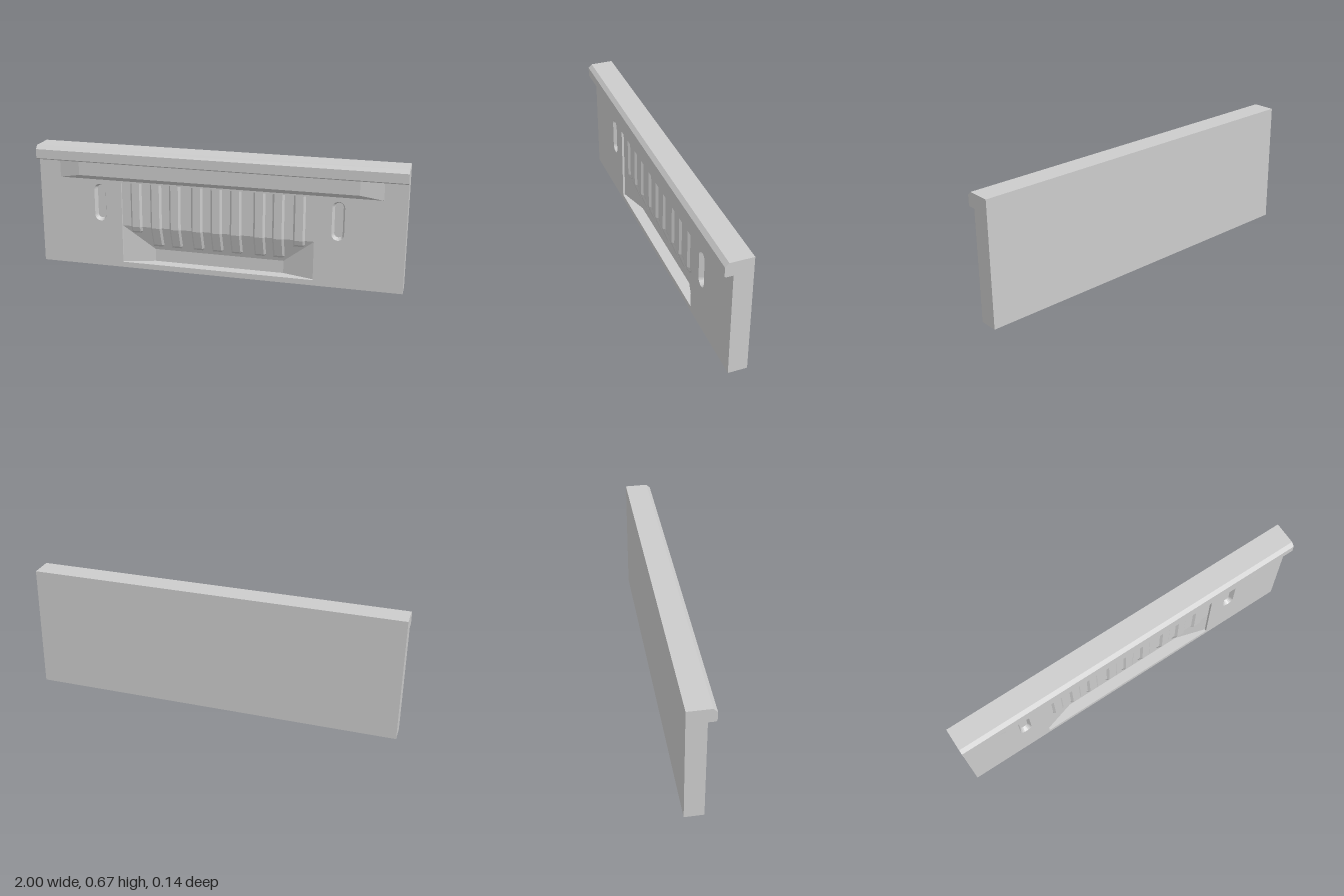
import * as THREE from 'three';

const mat = new THREE.MeshStandardMaterial({ color: 0xcccccc, flatShading: true });
const FRONT = 0.03, BACK = -0.07, DEEP = -0.032, INNER = 0.018; // z levels
const BEND = 0.24, SLOPE_END = 0.1; // heights where the grille slopes back

function add(group, name, geometry) {
  const mesh = new THREE.Mesh(geometry, mat);
  mesh.name = name;
  group.add(mesh);
  return mesh;
}

const poly = (pts) => new THREE.Shape(pts.map(([x, y]) => new THREE.Vector2(x, y)));

// Side profile of [z, y] points, extruded along x and centred
function extrudeX(pts, width) {
  const g = new THREE.ExtrudeGeometry(poly(pts), { depth: width, bevelEnabled: false });
  return g.rotateY(-Math.PI / 2).translate(width / 2, 0, 0);
}

// Outline of an upright slot with round ends
function slotPoints(cx, cy, r, halfStraight) {
  const pts = [];
  for (let end = 0; end < 2; end++) {
    for (let i = 0; i <= 10; i++) {
      const a = Math.PI * (end + i / 10);
      pts.push([cx + r * Math.cos(a), cy + (end ? -1 : 1) * halfStraight + r * Math.sin(a)]);
    }
  }
  return pts;
}

// Tapered wall from an outer outline down to an inner one
function taperedWall(outer, z0, inner, z1) {
  const pos = [];
  outer.forEach((a, i) => {
    const j = (i + 1) % outer.length;
    const b = outer[j], c = inner[j], d = inner[i];
    pos.push(...a, z0, ...b, z0, ...c, z1, ...a, z0, ...c, z1, ...d, z1);
  });
  const g = new THREE.BufferGeometry();
  g.setAttribute('position', new THREE.Float32BufferAttribute(pos, 3));
  g.computeVertexNormals();
  return g;
}

const grilleZ = (y) =>
  y >= BEND ? INNER : INNER - ((BEND - y) / (BEND - SLOPE_END)) * (INNER - DEEP);

// Raised strip with chamfered sides that follows the grille down its slope
function ribGeometry(cx, bottom) {
  const g = new THREE.PlaneGeometry(1, 1, 3, 3);
  const xs = [-0.032, -0.021, 0.021, 0.032];
  const ys = [0.487, BEND, bottom + 0.014, bottom];
  const p = g.attributes.position;
  for (let i = 0; i < p.count; i++) {
    const col = i % 4, row = Math.floor(i / 4);
    const raised = row < 3 && (col === 1 || col === 2);
    p.setXYZ(i, cx + xs[col], ys[row], grilleZ(ys[row]) + (raised ? 0.011 : 0));
  }
  g.computeVertexNormals();
  return g;
}

export function createModel() {
  const model = new THREE.Group();
  model.name = 'panel';

  // Back slab and overhanging top cap in one profile
  add(model, 'backSlabAndCap', extrudeX([
    [BACK, 0], [DEEP, 0], [DEEP, 0.597], [0.067, 0.597], [0.073, 0.603],
    [0.073, 0.653], [0.053, 0.673], [BACK, 0.673],
  ], 2));

  // Front layer with openings for the recess and the two slots
  const face = poly([[-1, 0], [1, 0], [1, 0.597], [-1, 0.597]]);
  face.holes.push(poly([[-0.53, 0.03], [-0.53, 0.487], [0.53, 0.487], [0.53, 0.03]]));
  for (const s of [-1, 1]) {
    const outer = slotPoints(s * 0.653, 0.366, 0.033, 0.072);
    const inner = slotPoints(s * 0.653, 0.366, 0.022, 0.072);
    face.holes.push(poly(outer.slice().reverse()));
    const slot = new THREE.Group();
    slot.name = s > 0 ? 'leftSlot' : 'rightSlot';
    add(slot, 'slotWall', taperedWall(outer, FRONT, inner, 0.005));
    add(slot, 'slotFloor', new THREE.ShapeGeometry(poly(inner)).translate(0, 0, 0.005));
    model.add(slot);
  }
  add(model, 'frontLayer', new THREE.ExtrudeGeometry(face, {
    depth: FRONT - DEEP, bevelEnabled: false,
  }).translate(0, 0, DEEP));

  // Moulding under the cap, with slanted ends and a chamfered lower edge
  const moulding = new THREE.BoxGeometry(2, 2, 2);
  const p = moulding.attributes.position;
  for (let i = 0; i < p.count; i++) {
    const front = p.getZ(i) > 0;
    const lower = front ? 0.52 : 0.495;
    p.setXYZ(i, p.getX(i) * (front ? 0.76 : 0.88), p.getY(i) > 0 ? 0.597 : lower, front ? 0.057 : FRONT);
  }
  moulding.computeVertexNormals();
  add(model, 'moulding', moulding);

  // Grille body, sloping back at its foot
  add(model, 'grilleBody', extrudeX([
    [DEEP, SLOPE_END], [INNER, BEND], [INNER, 0.487], [DEEP, 0.487],
  ], 1.06));

  // Slanted cheeks closing the recess at both sides
  for (const s of [-1, 1]) {
    const plan = [[s * 0.53, -INNER], [s * 0.53, -DEEP], [s * 0.36, -DEEP]];
    const g = new THREE.ExtrudeGeometry(poly(plan), { depth: 0.457, bevelEnabled: false });
    add(model, s > 0 ? 'leftCheek' : 'rightCheek', g.rotateX(-Math.PI / 2).translate(0, 0.03, 0));
  }

  // Ribs; the outermost pair is shorter
  for (const x of [-0.449, -0.337, -0.23, -0.107, 0, 0.107, 0.235, 0.337, 0.449]) {
    add(model, 'rib', ribGeometry(x, Math.abs(x) > 0.4 ? 0.2 : 0.12));
  }
  return model;
}
